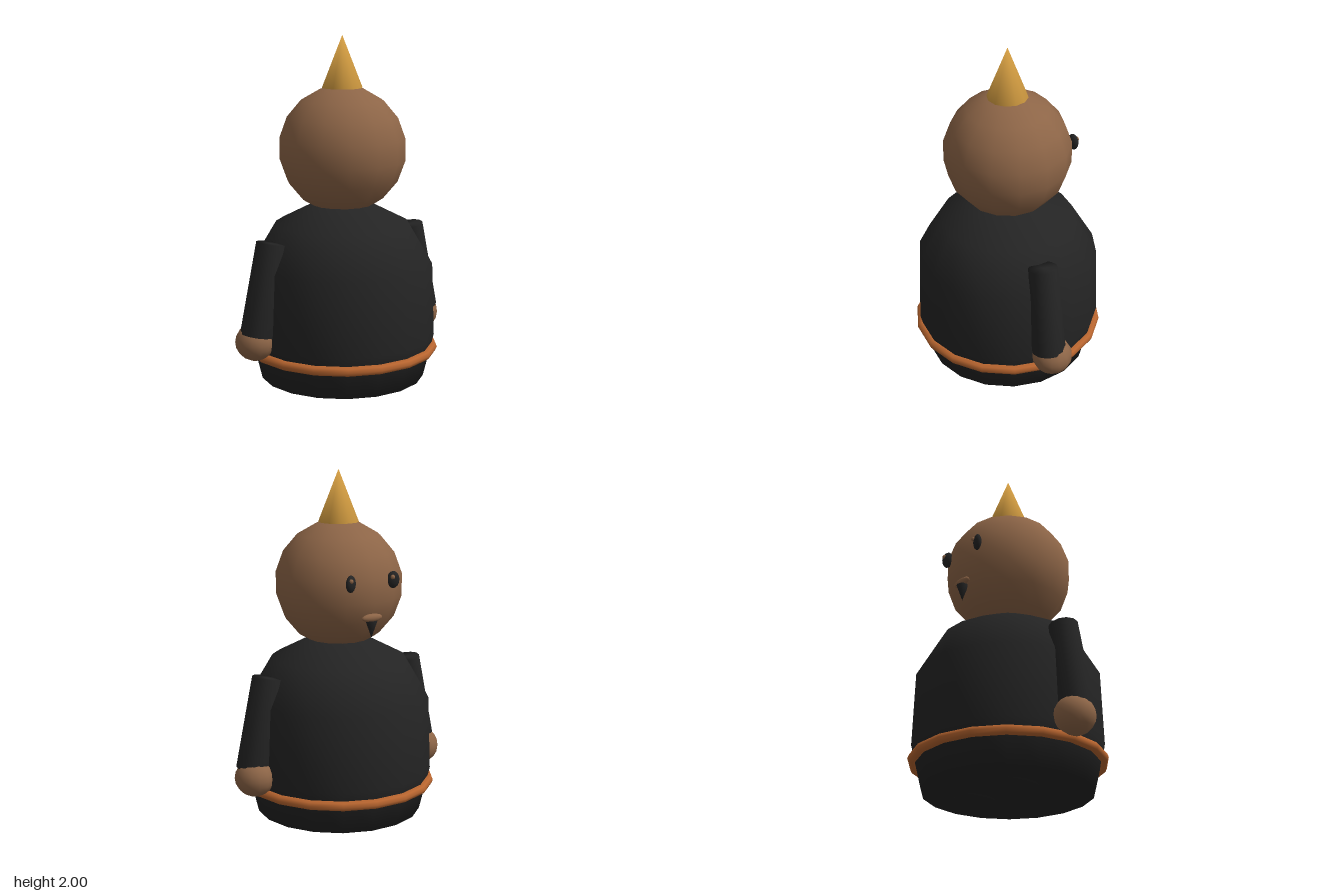
import * as THREE from 'three';
import { mergeVertices } from 'three/addons/utils/BufferGeometryUtils.js';

const mat = (name, color) => {
  const m = new THREE.MeshStandardMaterial({ color });
  m.name = name;
  return m;
};

// Share every corner so the whole surface, caps included, shades smoothly
function smooth(geometry) {
  geometry.deleteAttribute('uv');
  geometry.deleteAttribute('normal');
  const merged = mergeVertices(geometry, 1e-4);
  merged.computeVertexNormals();
  return merged;
}

export function createModel() {
  const black = mat('black cloth', 0x242424);
  const brown = mat('brown skin', 0x8d6547);
  const orange = mat('orange trim', 0xb8652f);
  const gold = mat('gold', 0xd9a143);

  const model = new THREE.Group();
  model.name = 'figure';

  function add(name, geometry, material, position = [0, 0, 0]) {
    const mesh = new THREE.Mesh(geometry, material);
    mesh.name = name;
    mesh.position.set(...position);
    model.add(mesh);
    return mesh;
  }

  function ellipsoid(name, material, position, radii, w = 14, h = 9) {
    const mesh = add(name, new THREE.SphereGeometry(1, w, h), material, position);
    mesh.scale.set(...radii);
    return mesh;
  }

  // Robe: rounded bell with a closed base
  const profile = [[0, 0.03], [0.475, 0.03], [0.535, 0.28], [0.52, 0.7], [0.385, 0.93], [0.17, 1.04], [0, 1.045]]
    .map(([r, y]) => new THREE.Vector2(r, y));
  add('robe', new THREE.LatheGeometry(profile, 18, Math.PI / 2), black);

  // Hem band
  const band = add('hemBand', new THREE.TorusGeometry(0.526, 0.028, 8, 18), orange, [0, 0.205, 0]);
  band.rotation.x = Math.PI / 2;

  // Head and pointed hat
  const head = add('head', new THREE.SphereGeometry(0.365, 14, 9), brown, [0, 1.355, 0]);
  head.rotation.y = Math.PI / 2;
  add('hat', smooth(new THREE.ConeGeometry(0.115, 0.295, 12)), gold, [0, 1.8525, 0]);

  // Arms, hands, feet and eyes on both sides
  for (const [side, s] of [['left', 1], ['right', -1]]) {
    const top = new THREE.Vector3(s * 0.475, 0.865, 0);
    const wrist = new THREE.Vector3(s * 0.57, 0.35, 0);
    const axis = top.clone().sub(wrist);
    const arm = add(side + 'Arm', smooth(new THREE.CylinderGeometry(0.083, 0.097, axis.length(), 12)), black,
      top.clone().add(wrist).multiplyScalar(0.5).toArray());
    arm.quaternion.setFromUnitVectors(new THREE.Vector3(0, 1, 0), axis.normalize());

    ellipsoid(side + 'Hand', brown, [s * 0.573, 0.308, -0.02], [0.112, 0.108, 0.115], 14, 10);
    ellipsoid(side + 'Foot', black, [s * 0.18, 0.1, -0.085], [0.13, 0.1, 0.19], 14, 10);

    const eye = ellipsoid(side + 'Eye', black, [s * 0.14, 1.41, -0.338], [0.036, 0.048, 0.022], 12, 8);
    eye.rotation.y = s * 0.35;
    ellipsoid(side + 'EyeGlint', brown, [s * 0.137 + 0.012, 1.428, -0.356], [0.013, 0.013, 0.012], 8, 6);
  }

  // Lip and pointed beard
  ellipsoid('lip', brown, [0, 1.21, -0.338], [0.068, 0.023, 0.02], 12, 8);
  const beard = add('beard', smooth(new THREE.ConeGeometry(0.034, 0.095, 10)), black, [0, 1.145, -0.333]);
  beard.rotation.x = Math.PI;

  return model;
}
